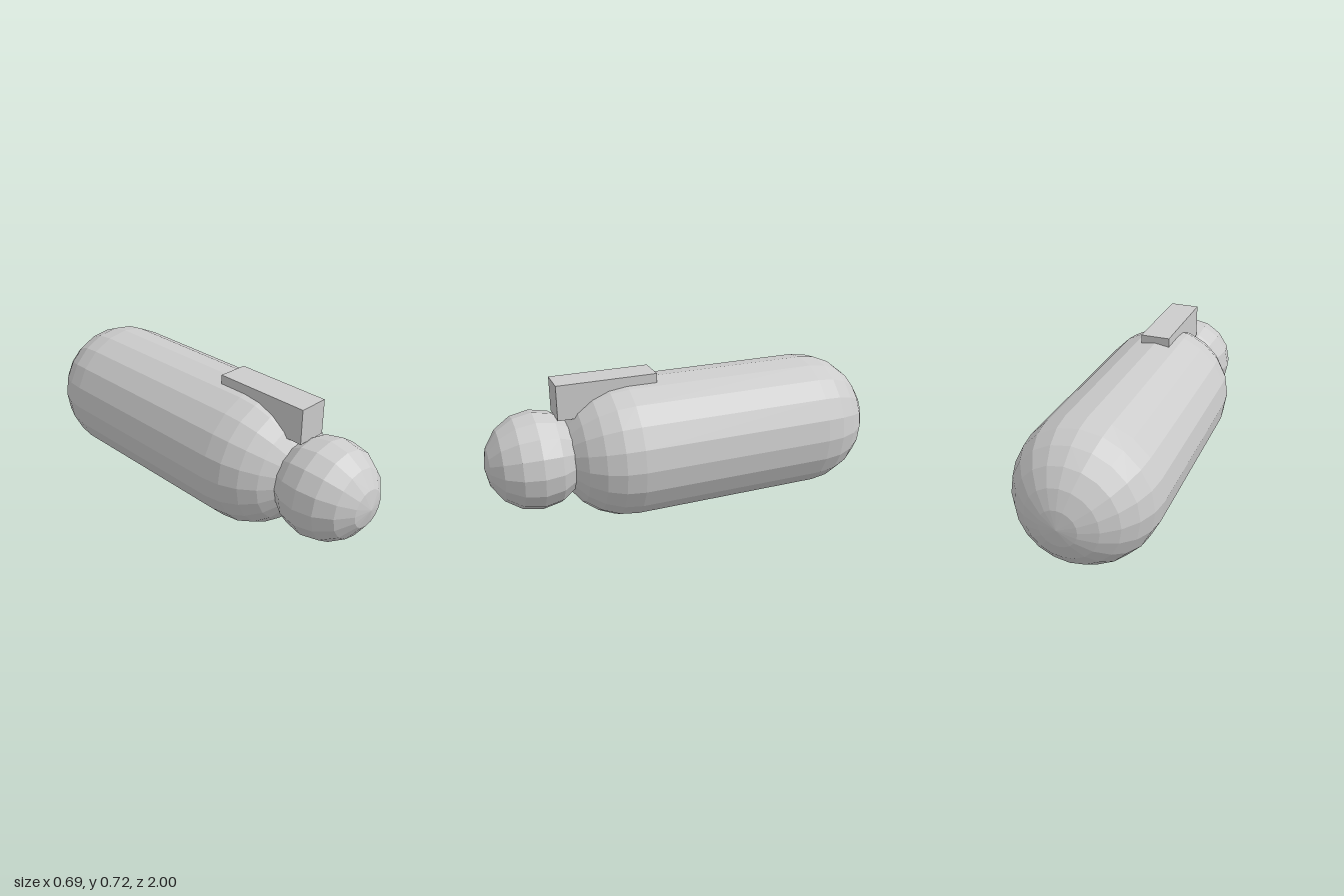
import * as THREE from 'three';

export function createModel() {
  const group = new THREE.Group();
  const material = new THREE.MeshStandardMaterial({ color: 0xcccccc, flatShading: true });
  const axisY = 0.345;

  function add(name, geometry, y, z) {
    const mesh = new THREE.Mesh(geometry, material);
    mesh.name = name;
    mesh.position.set(0, y, z);
    group.add(mesh);
  }

  // Long body with domed ends, lying along z
  const radius = 0.344, backZ = -0.656, frontZ = 0.316;
  add('body', new THREE.CapsuleGeometry(radius, frontZ - backZ, 6, 20).rotateX(Math.PI / 2),
    axisY, (frontZ + backZ) / 2);

  // Ball at the front, its pole facing forward
  add('frontBall', new THREE.SphereGeometry(0.24, 16, 8).rotateX(Math.PI / 2), axisY, 0.76);

  // Bar on top, sunk into the body and reaching over the ball
  add('topBar', new THREE.BoxGeometry(0.148, 0.17, 0.49), 0.638, 0.41);

  return group;
}
